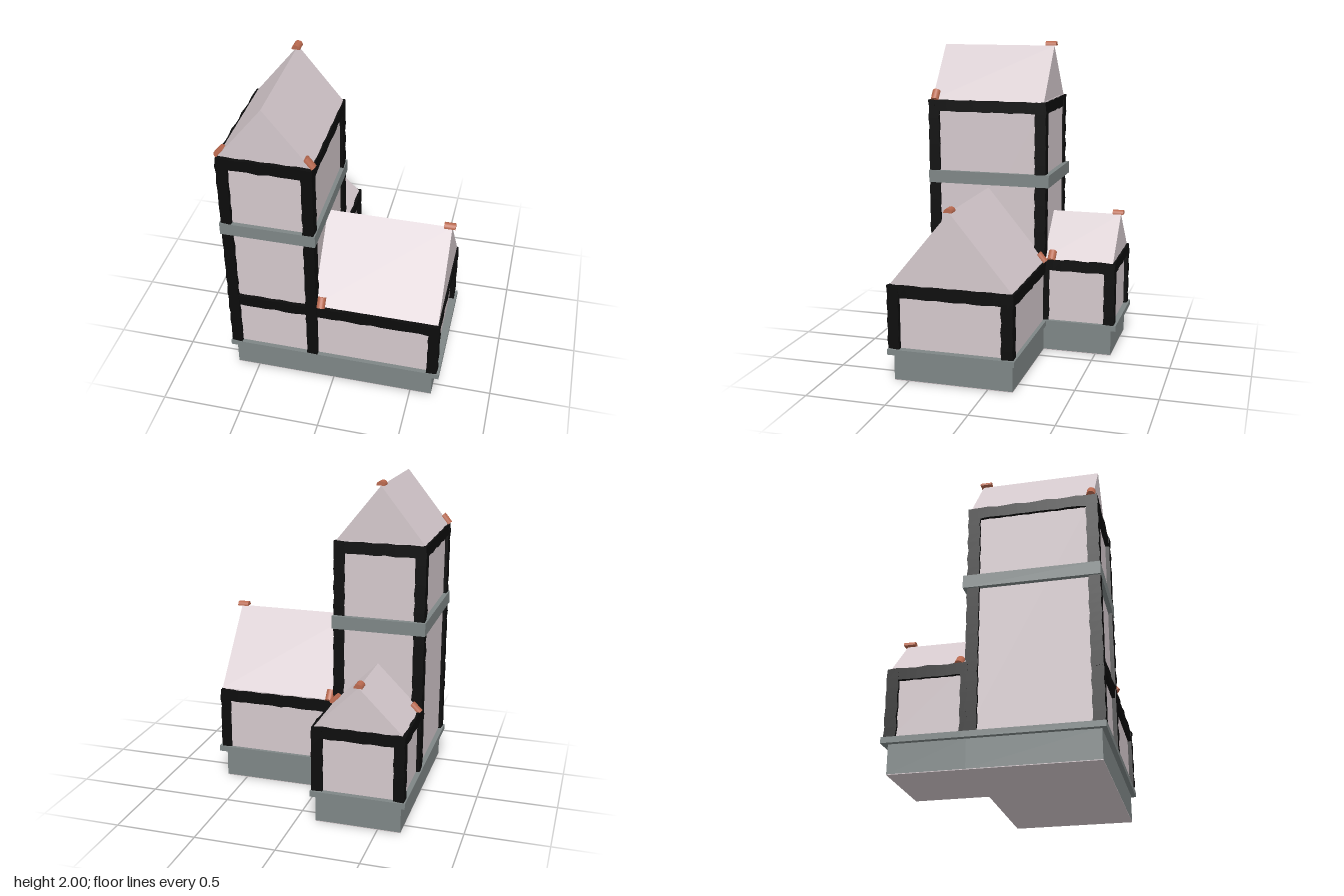
import * as THREE from 'three';

const make = (name, color) => Object.assign(new THREE.MeshStandardMaterial({ color }), { name });

export function createModel() {
  const model = new THREE.Group();
  model.name = 'house';
  const plaster = make('plaster', 0xd4c8cc);
  const stone = make('stone', 0x7e8686);
  const timber = make('blackTimber', 0x0c0c0c);
  const clay = make('clay', 0xb9694f);

  const add = (name, geometry, material) => {
    const mesh = new THREE.Mesh(geometry, material);
    mesh.name = name;
    model.add(mesh);
    return mesh;
  };

  // Box given by its limits on each axis
  const box = (name, material, [x0, x1], [y0, y1], [z0, z1], segments = [1, 1, 1]) => {
    const g = new THREE.BoxGeometry(x1 - x0, y1 - y0, z1 - z0, ...segments);
    g.translate((x0 + x1) / 2, (y0 + y1) / 2, (z0 + z1) / 2);
    return add(name, g, material);
  };

  // Rough-hewn timber: a divided box with slightly wavering edges
  const beam = (name, x, y, z) => {
    const parts = [x, y, z].map(([a, b]) => Math.max(1, Math.round((b - a) / 0.06)));
    const p = box(name, timber, x, y, z, parts).geometry.attributes.position;
    for (let i = 0; i < p.count; i++) {
      const [a, b, c] = [p.getX(i), p.getY(i), p.getZ(i)];
      p.setXYZ(i,
        a + 0.003 * Math.sin(47 * b + 31 * c),
        b + 0.003 * Math.sin(43 * a + 37 * c),
        c + 0.003 * Math.sin(53 * b + 29 * a));
    }
  };

  // Gable roof: triangular prism along z, or along x when turned
  const roof = (name, centre, half, eave, ridge, start, end, alongX) => {
    const s = new THREE.Shape();
    s.moveTo(-half, eave);
    s.lineTo(half, eave);
    s.lineTo(0, ridge);
    s.closePath();
    const g = new THREE.ExtrudeGeometry(s, { depth: end - start, bevelEnabled: false });
    if (alongX) g.rotateY(Math.PI / 2).translate(start, 0, centre);
    else g.translate(centre, 0, start);
    add(name, g, plaster);
  };

  // Half-round tile: axis along its length, up out of the roof
  const tile = (name, position, axis, up) => {
    const g = new THREE.CylinderGeometry(0.026, 0.026, 0.07, 10, 1, false, -Math.PI / 2, Math.PI);
    g.rotateX(-Math.PI / 2);
    const a = new THREE.Vector3(...axis).normalize();
    const u = new THREE.Vector3(...up).normalize();
    g.applyMatrix4(new THREE.Matrix4().makeBasis(u.clone().cross(a), u, a));
    g.translate(...position);
    add(name, g, clay);
    // flat underside
    const under = new THREE.PlaneGeometry(0.052, 0.07).rotateX(Math.PI / 2);
    under.applyMatrix4(new THREE.Matrix4().makeBasis(u.clone().cross(a), u, a));
    under.translate(...position);
    add(name + 'Underside', under, clay);
  };

  // Footprints of the main block, back annex and tower
  const mainX = [-0.64, 0.635], towerX = [-0.64, -0.115];
  const mainZ = [-0.155, 0.59], annexZ = [-0.6, -0.155];

  // Foundation, floor and ledge
  for (const [part, x, z] of [['main', mainX, mainZ], ['annex', towerX, annexZ]]) {
    box(part + 'Floor', plaster, x, [0, 0.004], z);
    box(part + 'Foundation', stone, x, [0.004, 0.18], z);
  }
  box('mainLedge', stone, [-0.67, 0.68], [0.175, 0.21], [-0.178, 0.618]);
  box('annexLedge', stone, [-0.67, -0.09], [0.175, 0.21], [-0.635, -0.178]);

  // Plaster walls
  box('wingWalls', plaster, [-0.115, 0.635], [0.2, 0.615], mainZ);
  box('annexWalls', plaster, towerX, [0.2, 0.62], annexZ);
  box('towerWalls', plaster, towerX, [0.2, 1.635], mainZ);
  box('towerBand', stone, [-0.67, -0.09], [1.09, 1.17], [-0.188, 0.618]);

  // Roofs
  roof('towerRoof', -0.3775, 0.272, 1.63, 1.97, -0.15, 0.59, false);
  roof('wingRoof', 0.22, 0.378, 0.612, 1.07, -0.115, 0.654, true);
  roof('annexRoof', -0.3775, 0.268, 0.618, 0.885, -0.607, -0.15, false);

  // Tower posts, in two storeys
  for (const y of [[0.21, 1.09], [1.17, 1.63]])
    for (const x of [[-0.66, -0.595], [-0.163, -0.096]])
      for (const z of [[-0.165, -0.093], [0.545, 0.615]]) beam('towerPost', x, y, z);

  // Wing and annex posts
  for (const z of [[-0.165, -0.093], [0.545, 0.615]])
    beam('wingPost', [0.6, 0.665], [0.21, 0.605], z);
  for (const x of [[-0.66, -0.595], [-0.163, -0.096]]) {
    beam('annexPost', x, [0.21, 0.62], [-0.622, -0.553]);
    beam('annexJunctionPost', x, [0.21, 0.615], [-0.19, -0.15]);
  }

  // Horizontal beams under the eaves
  beam('frontBeam', [-0.66, 0.665], [0.532, 0.605], [0.57, 0.612]);
  beam('wingBackBeam', [-0.1, 0.665], [0.532, 0.605], [-0.17, -0.13]);
  beam('wingSideBeam', [0.615, 0.662], [0.532, 0.605], [-0.165, 0.612]);
  beam('annexBackBeam', [-0.66, -0.096], [0.55, 0.62], [-0.62, -0.58]);
  for (const x of [[-0.66, -0.62], [-0.136, -0.096]]) {
    beam('annexSideBeam', x, [0.55, 0.62], [-0.62, -0.16]);
    beam('towerSideBeam', x, [1.558, 1.63], [-0.165, 0.612]);
  }
  for (const z of [[-0.165, -0.125], [0.573, 0.612]])
    beam('towerEndBeam', [-0.66, -0.096], [1.558, 1.63], z);

  // Ridge tiles
  tile('towerRidgeTile', [-0.378, 1.972, -0.13], [0, 0, 1], [0, 1, 0]);
  tile('annexRidgeTile', [-0.378, 0.887, -0.59], [0, 0, 1], [0, 1, 0]);
  tile('wingRidgeTile', [0.64, 1.072, 0.22], [1, 0, 0], [0, 1, 0]);

  // Eave tiles on both slopes
  for (const s of [-1, 1]) {
    tile('towerEaveTile', [-0.378 + s * 0.255, 1.655, 0.575], [s, -1.25, 0], [s * 1.25, 1, 0]);
    tile('annexEaveTile', [-0.378 + s * 0.25, 0.637, -0.205], [s, -1, 0], [s, 1, 0]);
    tile('wingEaveTile', [-0.07, 0.635, 0.22 + s * 0.367], [0, -1.2, s], [0, 1, s * 1.2]);
  }
  return model;
}
